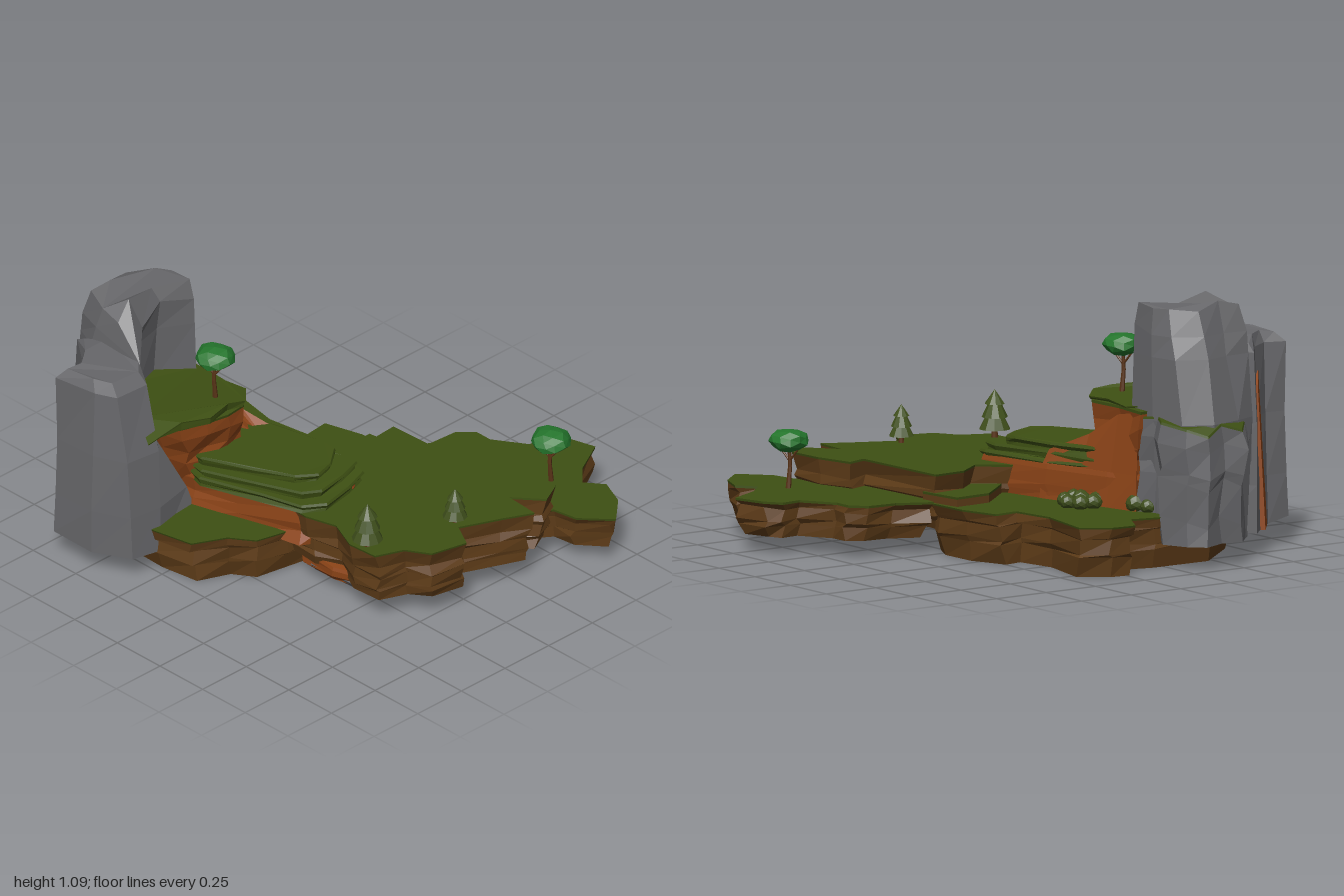
import * as THREE from 'three';
import { mergeGeometries } from 'three/addons/utils/BufferGeometryUtils.js';

const mat = (color) => new THREE.MeshStandardMaterial({ color, flatShading: true, side: THREE.DoubleSide });
const M = {
  grass: mat(0x3e5013), brown: mat(0x5e3c18), dark: mat(0x38220f), clay: mat(0x8e4518),
  rock: mat(0x67676a), leaf: mat(0x24752c), pine: mat(0x40501c), trunk: mat(0x5a3417),
};

let seed = 7;
const rnd = () => (seed = (seed * 16807) % 2147483647) / 2147483647;
const jit = (a) => (rnd() * 2 - 1) * a;

function geo(pos) {
  const g = new THREE.BufferGeometry();
  g.setAttribute('position', new THREE.Float32BufferAttribute(pos, 3));
  g.computeVertexNormals();
  return g;
}
function add(parent, name, geometry, material) {
  const m = new THREE.Mesh(geometry, material);
  m.name = name;
  parent.add(m);
  return m;
}
// Outline points are [x, z] plus an optional height; order is made counter-clockwise seen from above
function orient(pts) {
  const v = pts.map((p) => new THREE.Vector2(p[0], p[1]));
  return THREE.ShapeUtils.isClockWise(v) ? pts : pts.slice().reverse();
}
const ringAt = (pts, y) => pts.map((p) => new THREE.Vector3(p[0], p[2] ?? y, p[1]));

// Walls between successive rings, listed from the bottom up
function walls(rings) {
  const pos = [];
  for (let k = 0; k + 1 < rings.length; k++) {
    const lo = rings[k], hi = rings[k + 1], n = lo.length;
    for (let i = 0; i < n; i++) {
      const j = (i + 1) % n;
      for (const v of [lo[i], lo[j], hi[j], lo[i], hi[j], hi[i]]) pos.push(v.x, v.y, v.z);
    }
  }
  return geo(pos);
}
// Flat or slightly uneven lid over a ring
function cap(ring, up) {
  const pos = [];
  const tris = THREE.ShapeUtils.triangulateShape(ring.map((v) => new THREE.Vector2(v.x, v.z)), []);
  for (const t of tris) {
    let [a, b, c] = t.map((i) => ring[i]);
    const ny = (b.z - a.z) * (c.x - a.x) - (b.x - a.x) * (c.z - a.z);
    if ((ny > 0) !== up) [b, c] = [c, b];
    for (const v of [a, b, c]) pos.push(v.x, v.y, v.z);
  }
  return geo(pos);
}

// Layered slab: levels are [y, scale] from the bottom up, the last one carries the grass;
// a third number in an outline point raises or lowers that corner
function slab(parent, name, outline, levels, side, { rough = 0.012, pivot, top = M.grass } = {}) {
  const g = new THREE.Group();
  g.name = name;
  parent.add(g);
  const pts = orient(outline);
  const c = pivot ?? [0, 1].map((k) => pts.reduce((s, p) => s + p[k], 0) / pts.length);
  const last = levels.length - 1;
  const rings = levels.map(([y, s], k) => pts.map((p) => {
    const e = k >= last - 1 ? 0 : rough;
    const lift = k ? (p[2] ?? 0) + jit(e * 0.6) : 0;
    return new THREE.Vector3(c[0] + (p[0] - c[0]) * s + jit(e), y + lift, c[1] + (p[1] - c[1]) * s + jit(e));
  }));
  add(g, name + 'Sides', walls(rings.slice(0, last)), side);
  add(g, name + 'Top', mergeGeometries([walls(rings.slice(last - 1)), cap(rings[last], true)]), top);
  add(g, name + 'Underside', cap(rings[0], false), side === M.brown ? M.dark : side);
}

// Rock column lofted through outlines that share a point count
function rock(parent, name, sections, material = M.rock) {
  const rings = sections.map(([y, pts]) => ringAt(orient(pts), y));
  add(parent, name, mergeGeometries([walls(rings), cap(rings.at(-1), true), cap(rings[0], false)]), material);
}

function blob(r, sy) {
  const g = new THREE.IcosahedronGeometry(r, 1);
  const p = g.attributes.position;
  for (let i = 0; i < p.count; i++) {
    // the offset depends only on position, so shared corners stay joined
    const x = p.getX(i), y = p.getY(i), z = p.getZ(i);
    const k = 1 + 0.07 * Math.sin(70 * x + 40 * y + 90 * z);
    p.setXYZ(i, x * k, y * k * sy, z * k);
  }
  g.computeVertexNormals();
  return g;
}
function stick(a, b, r0, r1) {
  const path = new THREE.Vector3().subVectors(b, a);
  const g = new THREE.CylinderGeometry(r1, r0, path.length(), 6);
  g.applyQuaternion(new THREE.Quaternion().setFromUnitVectors(new THREE.Vector3(0, 1, 0), path.clone().normalize()));
  const m = a.clone().add(b).multiplyScalar(0.5);
  return g.translate(m.x, m.y, m.z);
}
function roundTree(parent, x, y, z) {
  const g = new THREE.Group();
  g.name = 'roundTree';
  g.position.set(x, y, z);
  const V = (a, b, c) => new THREE.Vector3(a, b, c);
  const parts = [stick(V(0.005, -0.02, 0), V(-0.005, 0.09, 0), 0.012, 0.008), stick(V(-0.005, 0.085, 0), V(0, 0.19, 0), 0.009, 0.006)];
  for (const s of [-1, 1]) parts.push(stick(V(-0.003, 0.11, 0), V(0.02 * s, 0.17, 0.045 * s), 0.005, 0.004));
  add(g, 'trunk', mergeGeometries(parts), M.trunk);
  add(g, 'crown', blob(0.083, 0.58), M.leaf).position.y = 0.195;
  parent.add(g);
}
function pineTree(parent, x, y, z, s) {
  const g = new THREE.Group();
  g.name = 'pineTree';
  g.position.set(x, y, z);
  g.scale.setScalar(s);
  add(g, 'trunk', new THREE.CylinderGeometry(0.011, 0.015, 0.09, 7).translate(0, 0.03, 0), M.trunk);
  [[0.065, 0.035, 0.04], [0.054, 0.026, 0.09], [0.042, 0, 0.145]].forEach(([r, t, h], i) => {
    const tier = add(g, 'needles', new THREE.CylinderGeometry(t, r, 0.06, 10), M.pine);
    tier.position.y = h + 0.025;
    tier.rotation.y = i;
  });
  parent.add(g);
}

export function createModel() {
  const root = new THREE.Group();
  root.name = 'cliffIsland';

  // Ground slabs
  slab(root, 'backGround', [[-0.2, -0.82], [-0.08, -0.79], [-0.01, -0.92], [0.1, -0.91], [0.21, -0.83], [0.16, -0.55],
    [0.19, -0.36], [0.3, -0.37], [0.35, -0.2], [0.36, 0], [0.3, 0.13], [-0.1, 0.16], [-0.38, 0.12], [-0.53, 0.08],
    [-0.6, -0.02], [-0.74, -0.09], [-0.78, -0.28], [-0.76, -0.6], [-0.5, -0.84]],
  [[0, 0.9], [0.08, 0.93], [0.1, 0.95], [0.16, 0.95], [0.17, 0.98], [0.207, 0.995], [0.215, 1]], M.brown);
  slab(root, 'middleGround', [[0.35, -0.02], [0.37, 0.46], [0.46, 0.43], [0.5, 0.6], [0.51, 0.77], [0.41, 0.82], [0.31, 0.7],
    [0.3, 0.86], [0.18, 0.8], [0, 0.72], [-0.06, 0.83], [-0.22, 0.79], [-0.28, 0.69], [-0.4, 0.64], [-0.41, 0.5],
    [-0.35, 0.36], [-0.39, 0.22], [-0.38, 0], [-0.05, -0.02], [0.08, 0.08], [0.2, -0.01]],
  [[0.1, 0.9], [0.14, 0.92], [0.16, 0.94], [0.21, 0.94], [0.23, 0.97], [0.26, 0.96], [0.326, 0.995], [0.335, 1]], M.brown);
  slab(root, 'lowGround', [[0.36, -0.02], [0.5, 0.05], [0.63, 0.06], [0.69, 0.12], [0.69, 0.2], [0.78, 0.34], [0.87, 0.33],
    [0.92, 0.4], [0.96, 0.54], [0.81, 0.62], [0.73, 0.7], [0.79, 0.78], [0.74, 0.9], [0.63, 1], [0.52, 0.88], [0.5, 0.77],
    [0.36, 0.66], [0.3, 0.3]],
  [[0.07, 0.9], [0.12, 0.93], [0.14, 0.97], [0.19, 0.96], [0.212, 0.995], [0.222, 1]], M.brown);
  slab(root, 'groundStep', [[-0.02, 0.03], [0.08, -0.06], [0.16, -0.13], [0.33, -0.14], [0.36, 0.06], [0, 0.12]],
    [[0.18, 0.98], [0.245, 0.99], [0.255, 1]], M.brown, { rough: 0 });

  // Clay and rock exposed beneath the middle ground
  slab(root, 'clayBase', [[-0.34, 0.14], [0.1, 0.12], [0.13, 0.35], [0.08, 0.54], [-0.12, 0.58], [-0.3, 0.52], [-0.36, 0.35]],
    [[0.062, 0.94], [0.09, 0.98], [0.115, 1], [0.13, 0.98]], M.clay, { top: M.clay });
  rock(root, 'rockBase', [
    [0.05, [[-0.33, 0.22], [-0.04, 0.2], [0.03, 0.38], [-0.14, 0.54], [-0.31, 0.48]]],
    [0.08, [[-0.35, 0.21], [-0.02, 0.18], [0.04, 0.39], [-0.14, 0.56], [-0.33, 0.5]]],
  ]);

  // Clay slope, its ridge, and the grassy terraces stacked on it
  slab(root, 'claySlope', [[-0.22, -0.64], [-0.17, -0.5], [-0.08, -0.2], [-0.01, 0.16], [-0.1, 0.21], [-0.3, 0.23], [-0.38, 0.17],
    [-0.46, -0.1], [-0.52, -0.3], [-0.53, -0.6]],
  [[0.18, 1.03], [0.24, 1.02], [0.28, 0.98], [0.34, 1], [0.36, 0.98]], M.clay, { top: M.clay });
  rock(root, 'clayRidge', [
    [0.2, [[-0.2, -0.66], [-0.16, -0.5], [-0.12, -0.34], [-0.07, -0.16], [-0.2, -0.12], [-0.34, -0.5]]],
    [0.36, [[-0.21, -0.65], [-0.18, -0.51], [-0.14, -0.35], [-0.08, -0.17], [-0.2, -0.13], [-0.34, -0.5]]],
    [0.5, [[-0.23, -0.63, 0.62], [-0.21, -0.52, 0.6], [-0.18, -0.36, 0.5], [-0.1, -0.19, 0.42], [-0.18, -0.18, 0.38], [-0.3, -0.5, 0.6]]],
  ], M.clay);
  const terraces = [
    [0.36, [[-0.16, -0.42], [-0.09, -0.2], [-0.01, 0.14], [-0.02, 0.19], [-0.14, 0.23], [-0.3, 0.26], [-0.39, 0.2], [-0.45, 0.02], [-0.54, -0.25], [-0.5, -0.42]]],
    [0.395, [[-0.16, -0.42], [-0.1, -0.2], [-0.03, 0.1], [-0.03, 0.16], [-0.14, 0.19], [-0.28, 0.21], [-0.36, 0.17], [-0.44, -0.02], [-0.53, -0.25], [-0.5, -0.42]]],
    [0.43, [[-0.16, -0.42], [-0.1, -0.2], [-0.06, 0], [-0.06, 0.06], [-0.15, 0.13], [-0.25, 0.16], [-0.33, 0.1], [-0.41, -0.06], [-0.51, -0.27], [-0.5, -0.42]]],
  ];
  terraces.forEach(([y, pts], i) => slab(root, 'terrace' + (i + 1), pts.map(([x, z]) => [x, z, jit(0.006)]),
    [[y - 0.025, 0.97], [y - 0.01, 0.96], [y + 0.008, 1], [y + 0.018, 0.98]], M.grass, { rough: 0.006 }));

  // Upper clay ledge with its grass plateau
  slab(root, 'upperLedge', [[-0.21, -0.68], [-0.23, -0.5], [-0.22, -0.32], [-0.3, -0.23], [-0.4, -0.22], [-0.5, -0.24],
    [-0.62, -0.28], [-0.66, -0.4], [-0.68, -0.65]],
  [[0.3, 0.68], [0.42, 0.8], [0.48, 0.86], [0.56, 0.95], [0.62, 0.99], [0.632, 1]], M.clay, { pivot: [-0.25, -0.45], rough: 0.014 });
  slab(root, 'plateau', [[-0.22, -0.56, -0.02], [-0.24, -0.4, -0.01], [-0.22, -0.3, -0.012], [-0.3, -0.22], [-0.38, -0.24, 0.012], [-0.5, -0.22, 0.005],
    [-0.62, -0.27, 0.012], [-0.79, -0.29, -0.03], [-0.72, -0.42, 0.012], [-0.68, -0.68, 0.01], [-0.32, -0.72]],
  [[0.63, 0.95], [0.65, 0.99], [0.656, 1]], M.grass, { rough: 0.006 });

  // Rear cliff: tall peak with a hollow front, its lower shoulder, the left pillar and the exposed clay seam
  rock(root, 'tallPeak', [
    [0.1, [[-0.65, -0.8], [-0.6, -0.88], [-0.5, -0.93], [-0.38, -0.93], [-0.3, -0.9], [-0.25, -0.75], [-0.25, -0.6], [-0.4, -0.64], [-0.55, -0.6], [-0.72, -0.5]]],
    [0.6, [[-0.68, -0.78], [-0.63, -0.88], [-0.53, -0.92], [-0.38, -0.96], [-0.26, -0.9], [-0.24, -0.72], [-0.25, -0.56], [-0.4, -0.66], [-0.56, -0.61], [-0.72, -0.42]]],
    [0.86, [[-0.68, -0.74], [-0.63, -0.85], [-0.51, -0.86], [-0.4, -0.89], [-0.275, -0.83], [-0.25, -0.7], [-0.26, -0.56], [-0.4, -0.64], [-0.57, -0.6], [-0.71, -0.43]]],
    [0.95, [[-0.67, -0.72], [-0.63, -0.84], [-0.52, -0.83], [-0.4, -0.86], [-0.285, -0.79], [-0.255, -0.69], [-0.265, -0.56, 0.98], [-0.4, -0.62, 1], [-0.56, -0.56, 0.97], [-0.69, -0.44, 0.9]]],
    [1.06, [[-0.65, -0.7, 1.04], [-0.61, -0.81, 1.06], [-0.52, -0.79, 1.08], [-0.4, -0.82, 1.05], [-0.3, -0.75, 1.06], [-0.265, -0.69, 1.06], [-0.27, -0.58, 1.07], [-0.42, -0.65, 1.06], [-0.58, -0.62, 1.09], [-0.66, -0.6, 1.02]]],
  ]);
  const shoulder = [[-0.63, -0.86], [-0.58, -0.91, -0.02], [-0.52, -0.98, -0.04], [-0.42, -0.96, -0.01], [-0.33, -0.99, -0.05],
    [-0.25, -0.94, -0.02], [-0.2, -0.82], [-0.24, -0.74, 0.01], [-0.21, -0.65], [-0.45, -0.6]];
  slab(root, 'rockShoulder', shoulder, [[0.1, 0.95], [0.22, 0.97], [0.38, 0.93], [0.42, 0.97], [0.53, 1], [0.6, 0.95], [0.61, 0.93]], M.rock, { rough: 0.014 });
  rock(root, 'leftPillar', [
    [0.1, [[-0.97, -0.66, 0.12], [-0.86, -0.67], [-0.78, -0.74], [-0.68, -0.84], [-0.56, -0.7], [-0.5, -0.45], [-0.5, -0.3, 0.16], [-0.74, -0.27], [-0.88, -0.29, 0.11], [-0.95, -0.46]]],
    [0.3, [[-0.96, -0.66], [-0.86, -0.66], [-0.78, -0.73], [-0.68, -0.84], [-0.58, -0.7], [-0.54, -0.45], [-0.54, -0.32], [-0.73, -0.28], [-0.88, -0.3], [-0.95, -0.46]]],
    [0.56, [[-0.95, -0.66], [-0.86, -0.65], [-0.77, -0.72], [-0.68, -0.84], [-0.6, -0.7], [-0.64, -0.45], [-0.67, -0.36], [-0.72, -0.3], [-0.88, -0.32], [-0.94, -0.46]]],
    [0.85, [[-0.95, -0.67], [-0.86, -0.64], [-0.77, -0.7], [-0.68, -0.82], [-0.62, -0.7], [-0.68, -0.55], [-0.69, -0.42], [-0.72, -0.37], [-0.88, -0.38], [-0.92, -0.47]]],
    [0.9, [[-0.91, -0.64, 0.89], [-0.85, -0.62], [-0.77, -0.68], [-0.69, -0.77, 0.88], [-0.65, -0.68], [-0.68, -0.56], [-0.68, -0.46, 0.91], [-0.73, -0.41], [-0.87, -0.42, 0.9], [-0.9, -0.5]]],
  ]);
  rock(root, 'claySeam', [
    [0.1, [[-0.84, -0.69], [-0.76, -0.79], [-0.66, -0.7], [-0.76, -0.58]]],
    [0.74, [[-0.81, -0.67, 0.77], [-0.75, -0.75, 0.7], [-0.66, -0.68], [-0.76, -0.58]]],
  ], M.clay);

  // Trees
  roundTree(root, -0.37, 0.655, -0.33);
  roundTree(root, 0.645, 0.225, 0.6);
  pineTree(root, -0.365, 0.335, 0.56, 1);
  pineTree(root, 0.02, 0.335, 0.68, 0.8);

  // Bushes
  const bushes = [[-0.1, -0.41, 0.042], [-0.22, -0.63, 0.045], [-0.24, -0.69, 0.035], [-0.23, -0.56, 0.035]];
  for (let i = 0; i < 7; i++) {
    const a = (i / 7) * Math.PI * 2;
    bushes.push([-0.1 + 0.065 * Math.cos(a), -0.41 + 0.07 * Math.sin(a), 0.032 + 0.008 * rnd()]);
  }
  for (const [x, z, r] of bushes) add(root, 'bush', blob(r, 0.9), M.pine).position.set(x, 0.215 + r * 0.7, z);

  return root;
}
